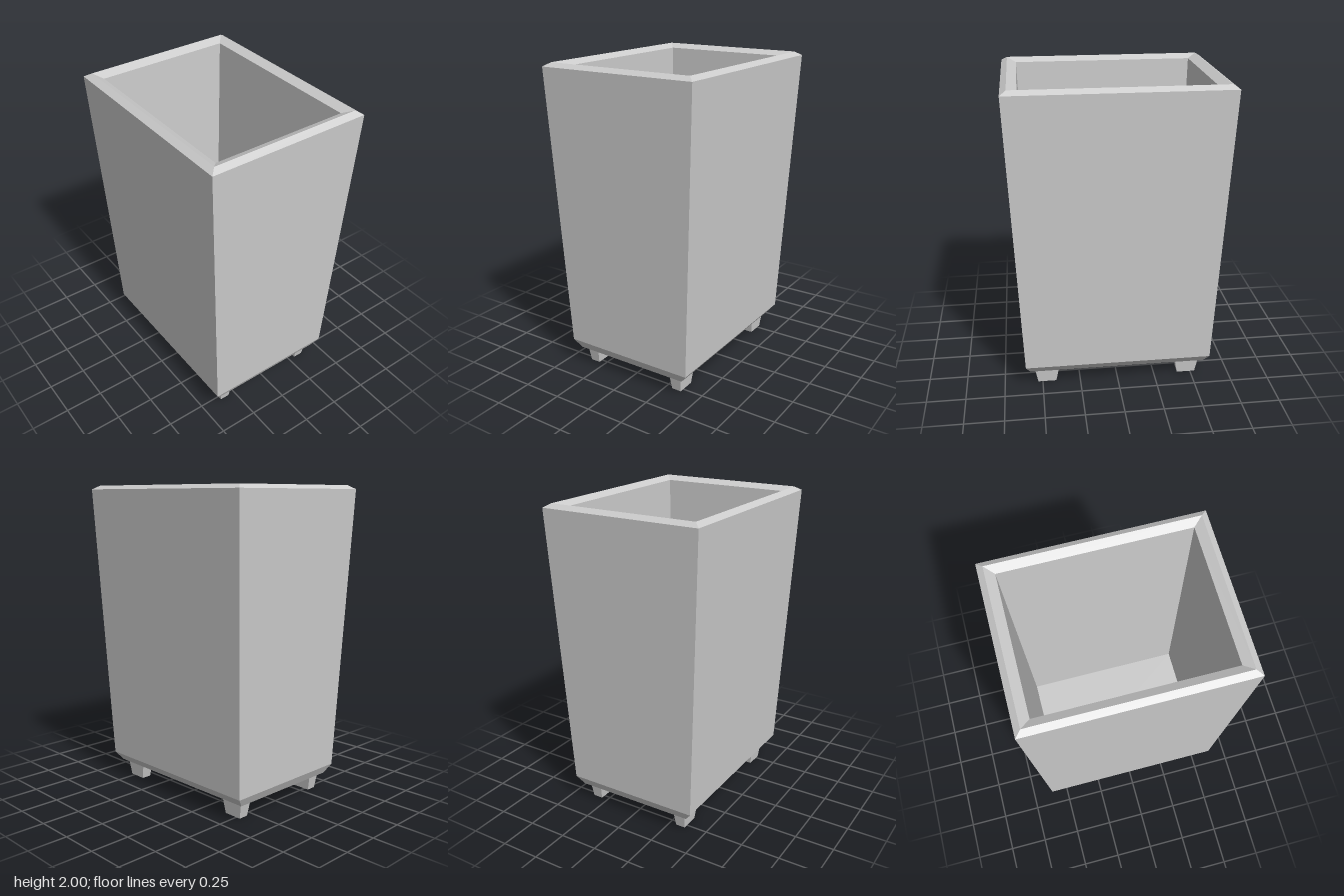
import * as THREE from 'three';

const material = new THREE.MeshStandardMaterial({ color: 0xcccccc, flatShading: true });

// Lofts rectangular rings [halfX, y, halfZ], closing the first and last ring.
function rectLoft(rings) {
  const corners = rings.map(([x, y, z]) => [[x, y, z], [x, y, -z], [-x, y, -z], [-x, y, z]]);
  const positions = [];
  const quad = (a, b, c, d) => positions.push(...a, ...b, ...c, ...a, ...c, ...d);
  for (let i = 0; i < corners.length - 1; i++) {
    const lower = corners[i], upper = corners[i + 1];
    for (let k = 0; k < 4; k++) {
      const n = (k + 1) % 4;
      quad(lower[k], lower[n], upper[n], upper[k]);
    }
  }
  const [a, b, c, d] = corners[0];
  quad(d, c, b, a);
  quad(...corners[corners.length - 1]);
  const geometry = new THREE.BufferGeometry();
  geometry.setAttribute('position', new THREE.Float32BufferAttribute(positions, 3));
  geometry.computeVertexNormals();
  return geometry;
}

function addPart(group, name, geometry) {
  const mesh = new THREE.Mesh(geometry, material);
  mesh.name = name;
  group.add(mesh);
  return mesh;
}

export function createModel() {
  const model = new THREE.Group();
  model.name = 'taperedBin';

  // Hollow body: underside, bevel, outer wall, peaked rim, inner wall, floor
  addPart(model, 'body', rectLoft([
    [0.397, 0.106, 0.578],
    [0.444, 0.165, 0.608],
    [0.526, 1.976, 0.676],
    [0.487, 2.0, 0.638],
    [0.437, 1.973, 0.58],
    [0.384, 0.2, 0.535],
  ]));

  // Four tapered feet
  const footGeometry = rectLoft([
    [0.032, 0, 0.06],
    [0.042, 0.108, 0.08],
  ]);
  for (const [sx, side] of [[1, 'Left'], [-1, 'Right']]) {
    for (const [sz, end] of [[1, 'front'], [-1, 'back']]) {
      addPart(model, `${end}${side}Foot`, footGeometry).position.set(sx * 0.328, 0, sz * 0.47);
    }
  }
  return model;
}
